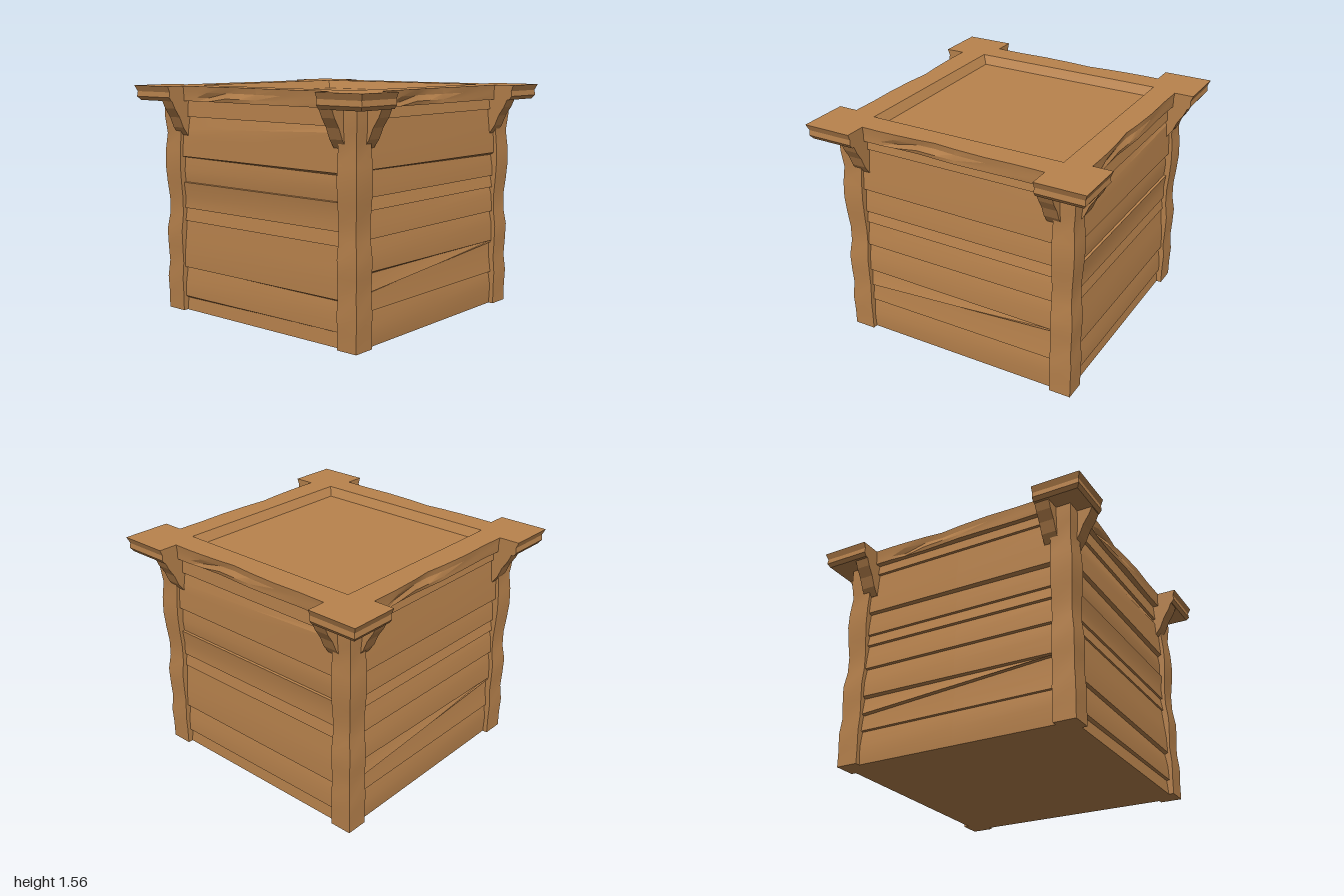
import * as THREE from 'three';
import { toCreasedNormals } from 'three/addons/utils/BufferGeometryUtils.js';

const wood = new THREE.MeshStandardMaterial({ color: 0xb9834d });

function part(name, geometry, parent) {
  const mesh = new THREE.Mesh(geometry, wood);
  mesh.name = name;
  parent.add(mesh);
  return mesh;
}

// Surface through rows of [x, y, z]; rows run upward, columns left to right seen from outside
function sheet(rows, crease = 0.3) {
  const cols = rows[0].length, index = [];
  for (let r = 0; r < rows.length - 1; r++) {
    for (let c = 0; c < cols - 1; c++) {
      const a = r * cols + c, b = a + 1, d = a + cols, e = d + 1;
      index.push(a, b, e, a, e, d);
    }
  }
  const g = new THREE.BufferGeometry();
  g.setAttribute('position', new THREE.Float32BufferAttribute(rows.flat(2), 3));
  g.setIndex(index);
  return toCreasedNormals(g, crease);
}

// Plank wall profiles: [height at left end, height at right end, distance outward]
const frontPlanks = [
  [0, 0, 0.7], [0, 0, 0.815], [0.085, 0.1, 0.805], [0.1, 0.103, 0.825],
  [0.2, 0.2, 0.822], [0.303, 0.292, 0.805], [0.308, 0.305, 0.828],
  [0.42, 0.42, 0.825], [0.52, 0.51, 0.815], [0.63, 0.63, 0.803], [0.632, 0.632, 0.815],
  [0.72, 0.72, 0.8], [0.722, 0.722, 0.815], [0.8, 0.8, 0.81], [0.9, 0.9, 0.822],
  [0.902, 0.902, 0.805], [0.98, 0.99, 0.812], [1.073, 1.06, 0.803], [1.08, 1.076, 0.828],
  [1.2, 1.22, 0.82], [1.26, 1.32, 0.815], [1.35, 1.35, 0.8], [1.352, 1.352, 0.82], [1.47, 1.47, 0.81],
];
const sidePlanks = [
  [0, 0, 0.7], [0, 0, 0.815], [0.12, 0.13, 0.822], [0.226, 0.228, 0.805], [0.23, 0.23, 0.822],
  [0.333, 0.333, 0.808], [0.335, 0.448, 0.803], [0.345, 0.452, 0.824], [0.46, 0.454, 0.806],
  [0.475, 0.458, 0.826], [0.58, 0.58, 0.822], [0.672, 0.665, 0.804], [0.676, 0.67, 0.824],
  [0.76, 0.79, 0.814], [0.845, 0.838, 0.8], [0.848, 0.842, 0.82], [0.925, 0.92, 0.803],
  [0.928, 0.923, 0.82], [1.0, 1.0, 0.815], [1.09, 1.07, 0.803], [1.097, 1.086, 0.828],
  [1.2, 1.23, 0.82], [1.39, 1.39, 0.802], [1.392, 1.392, 0.82], [1.47, 1.47, 0.81],
];

function plankWall(profile) {
  return sheet(profile.map(([l, r, z]) => [[-0.76, l, z], [0, (l + r) / 2, z], [0.76, r, z]]));
}

// Corner post with worn outer faces
function postGeometry() {
  const wear = [0, 0, 0.004, -0.006, -0.001, 0.002, -0.013, -0.014, -0.004, 0.003, 0, -0.011, 0, 0];
  const n = wear.length - 1;
  const g = new THREE.BoxGeometry(0.15, 1.46, 0.15, 1, n, 1);
  g.translate(0.775, 0.73, 0.775);
  const p = g.attributes.position;
  for (let i = 0; i < p.count; i++) {
    const w = wear[Math.round(p.getY(i) / 1.46 * n)];
    if (p.getX(i) > 0.8) p.setX(i, p.getX(i) + w);
    if (p.getZ(i) > 0.8) p.setZ(i, p.getZ(i) + w);
  }
  return toCreasedNormals(g, 0.3);
}

// Curved bracket under a corner cap
function bracketGeometry(x) {
  const s = new THREE.Shape([[0.78, 1.22], [0.82, 1.225], [0.86, 1.28], [0.89, 1.35], [0.93, 1.41],
    [0.955, 1.465], [0.78, 1.465]].map(([a, b]) => new THREE.Vector2(a, b)));
  const g = new THREE.ExtrudeGeometry(s, { depth: 0.1, bevelEnabled: false });
  g.rotateY(-Math.PI / 2);
  g.translate(x + 0.05, 0, 0);
  return g;
}

// Rim edge between caps: [x, then distance outward at each rim level, bottom to top]
const rimLevels = [1.46, 1.485, 1.52, 1.56];
const capInset = [0.03, 0.012, 0.016, 0];
const rimEdge = [
  [-0.65, 0.85, 0.85, 0.85, 0.855], [-0.52, 0.85, 0.85, 0.852, 0.857], [-0.42, 0.842, 0.832, 0.85, 0.855],
  [-0.25, 0.838, 0.845, 0.835, 0.847], [-0.12, 0.845, 0.85, 0.83, 0.835], [0.03, 0.853, 0.853, 0.845, 0.848],
  [0.25, 0.85, 0.848, 0.852, 0.857], [0.45, 0.846, 0.85, 0.848, 0.852], [0.65, 0.85, 0.85, 0.85, 0.855],
];

// Whole rim outline at one level, as [x, z], going round from the front left
function rimOutline(level) {
  const outer = 1 - capInset[level], points = [];
  for (let k = 0; k < 4; k++) {
    const side = [[-0.65, outer], ...rimEdge.map(e => [e[0], e[level + 1]]), [0.65, outer], [outer, outer]];
    for (const [x, z] of side) {
      const q = [[x, z], [z, -x], [-x, -z], [-z, x]][k];
      points.push([q[0], Math.abs(q[1]) > 0.95 ? q[1] * 0.988 : q[1]]);
    }
  }
  return points;
}

function buildRim(parent) {
  const rim = new THREE.Group();
  rim.name = 'rim';
  parent.add(rim);
  part('rimEdge', sheet(rimLevels.map((y, i) => {
    const o = rimOutline(i);
    return [...o, o[0]].map(([x, z]) => [x, y, z]);
  })), rim);

  // Flat top with square opening
  const square = (h, y) => [[-h, y, h], [h, y, h], [h, y, -h], [-h, y, -h], [-h, y, h]];
  const top = new THREE.Shape(rimOutline(3).map(([x, z]) => new THREE.Vector2(x, -z)));
  top.holes.push(new THREE.Path(square(0.685, 0).slice(0, 4).map(p => new THREE.Vector2(p[0], p[2]))));
  part('rimTop', new THREE.ShapeGeometry(top).rotateX(-Math.PI / 2), rim).position.y = 1.56;

  const under = new THREE.Shape(rimOutline(0).map(([x, z]) => new THREE.Vector2(x, z)));
  part('rimUnderside', new THREE.ShapeGeometry(under).rotateX(Math.PI / 2), rim).position.y = 1.46;

  // Sloped recess walls and sunken panel
  part('recessWalls', sheet([square(0.685, 1.56), square(0.65, 1.5)]), rim);
  part('sunkenPanel', new THREE.PlaneGeometry(1.3, 1.3).rotateX(-Math.PI / 2), rim).position.y = 1.5;
}

export function createModel() {
  const model = new THREE.Group();
  model.name = 'woodenCrate';

  const post = postGeometry();
  const walls = [frontPlanks, sidePlanks].map(plankWall);
  const brackets = [-0.7, 0.7].map(bracketGeometry);
  ['front', 'right', 'back', 'left'].forEach((name, k) => {
    const side = new THREE.Group();
    side.name = name + 'Side';
    side.rotation.y = k * Math.PI / 2;
    model.add(side);
    part('plankWall', walls[k % 2], side);
    part('cornerPost', post, side);
    brackets.forEach(b => part('capBracket', b, side));
  });

  part('floor', new THREE.BoxGeometry(1.6, 0.02, 1.6), model).position.y = 0.01;
  buildRim(model);
  return model;
}
